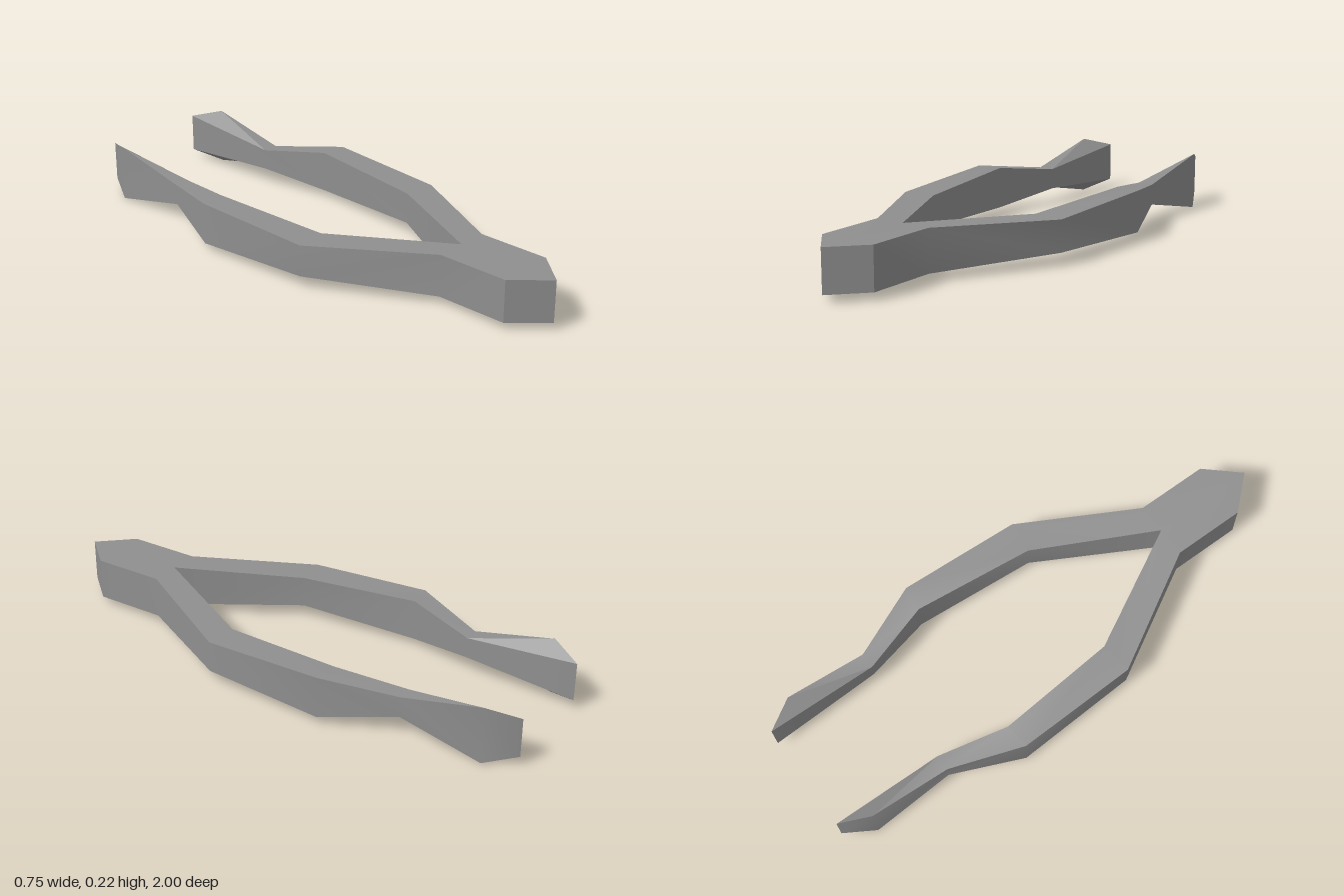
import * as THREE from 'three';
import { toCreasedNormals } from 'three/addons/utils/BufferGeometryUtils.js';

const MID_Y = 0.11;

// Cross-sections from nose to jaw tip: outer x, z, half height, then inner x, z, half height
const SECTIONS = [
  [0.113, 0.875, 0.08, 0, 1, 0.08],
  [0.113, 0.6, 0.08, 0, 0.6, 0.08],
  [0.357, 0.17, 0.06, 0.235, 0.155, 0.06],
  [0.374, -0.3, 0.08, 0.278, -0.31, 0.08],
  [0.268, -0.57, 0.04, 0.208, -0.57, 0.04],
  [0.268, -0.885, 0.11, 0.208, -1, 0.075],
];

// One arm with its half of the hinge block; side is +1 (left) or -1 (right)
function armGeometry(side) {
  const positions = [];
  const rings = SECTIONS.map(([ox, oz, oh, ix, iz, ih]) => [
    [side * ox, MID_Y + oh, oz], // outer top
    [side * ox, MID_Y - oh, oz], // outer bottom
    [side * ix, MID_Y - ih, iz], // inner bottom
    [side * ix, MID_Y + ih, iz], // inner top
  ]);
  const quad = (a, b, c, d) => {
    const corners = side > 0 ? [a, b, c, a, c, d] : [a, c, b, a, d, c];
    corners.forEach((p) => positions.push(...p));
  };
  for (let i = 0; i < rings.length - 1; i++) {
    const r = rings[i], n = rings[i + 1];
    for (let k = 0; k < 4; k++) {
      if (i === 0 && k === 2) continue; // the block halves join on the centre plane
      const m = (k + 1) % 4;
      quad(r[k], r[m], n[m], n[k]);
    }
  }
  // Slanted nose face and jaw end
  const first = rings[0], last = rings[rings.length - 1];
  quad(first[3], first[2], first[1], first[0]);
  quad(last[0], last[1], last[2], last[3]);

  const geometry = new THREE.BufferGeometry();
  geometry.setAttribute('position', new THREE.Float32BufferAttribute(positions, 3));
  return toCreasedNormals(geometry, THREE.MathUtils.degToRad(35));
}

export function createModel() {
  const group = new THREE.Group();
  group.name = 'tongs';
  const metal = new THREE.MeshStandardMaterial({ color: 0x8f8f8f });
  metal.name = 'grey metal';
  for (const [name, side] of [['leftArm', 1], ['rightArm', -1]]) {
    const arm = new THREE.Mesh(armGeometry(side), metal);
    arm.name = name;
    group.add(arm);
  }
  return group;
}
